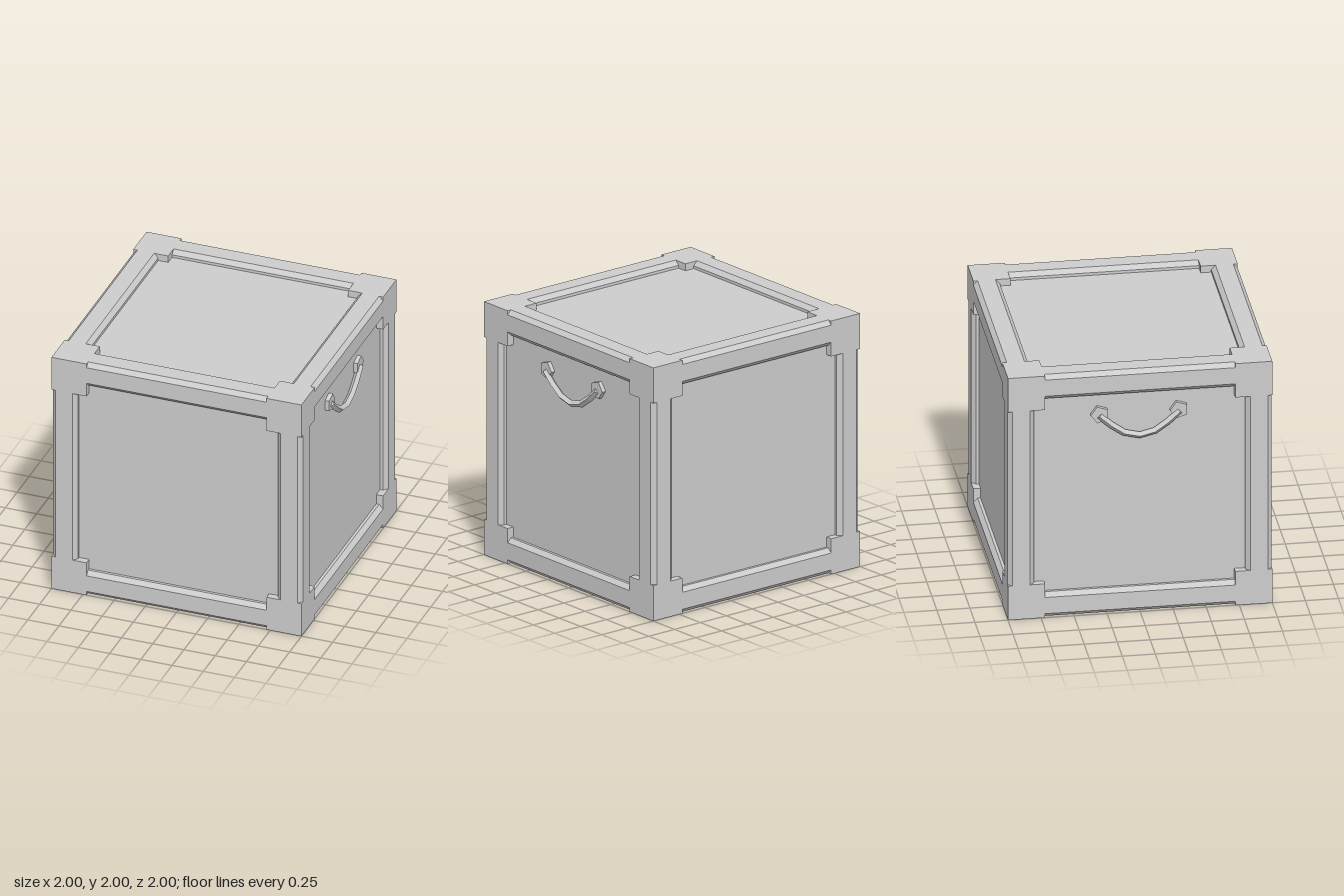
import * as THREE from 'three';

const metal = new THREE.MeshStandardMaterial({ color: 0xcccccc, flatShading: true });
metal.name = 'grey metal';

const PANEL = 0.945; // half size of the recessed body
const CORNER = 0.28; // corner block size
const BAR = 0.2; // edge bar thickness
const BEVEL = 0.033;

function add(parent, name, geometry, x = 0, y = 0, z = 0) {
  const mesh = new THREE.Mesh(geometry, metal);
  mesh.name = name;
  mesh.position.set(x, y, z);
  parent.add(mesh);
  return mesh;
}

// Square bar with bevelled long edges, centred along z
function barGeometry() {
  const h = BAR / 2, b = h - BEVEL, length = 2 - 2 * CORNER;
  const section = new THREE.Shape([
    [h, -b], [h, b], [b, h], [-b, h], [-h, b], [-h, -b], [-b, -h], [b, -h],
  ].map(([x, y]) => new THREE.Vector2(x, y)));
  return new THREE.ExtrudeGeometry(section, { depth: length, bevelEnabled: false })
    .translate(0, 0, -length / 2);
}

// Curved carrying handle with two five-sided mounts
function createHandle(side) {
  const handle = new THREE.Group();
  handle.name = side > 0 ? 'leftHandle' : 'rightHandle';

  const mount = new THREE.CylinderGeometry(0.07, 0.07, 0.04, 5, 1, false, Math.PI).rotateZ(Math.PI / 2);
  for (const z of [-0.3, 0.3]) add(handle, 'handleMount', mount, side * 0.957, 0.637, z);

  const points = [
    [-0.305, 0.63], [-0.205, 0.54], [-0.105, 0.473], [0, 0.45],
    [0.105, 0.473], [0.205, 0.54], [0.305, 0.63],
  ].map(([z, y]) => new THREE.Vector3(side * 0.973, y, z));
  const curve = new THREE.CatmullRomCurve3(points);
  add(handle, 'handleGrip', new THREE.TubeGeometry(curve, 6, 0.027, 4));

  // Close both ends of the grip
  for (const t of [0, 1]) {
    const p = curve.getPointAt(t);
    const cap = add(handle, 'handleGripEnd', new THREE.CircleGeometry(0.027, 4), p.x, p.y, p.z);
    cap.lookAt(p.clone().addScaledVector(curve.getTangentAt(t), t ? 1 : -1));
  }
  return handle;
}

export function createModel() {
  const model = new THREE.Group();
  model.name = 'crate';
  const crate = new THREE.Group();
  crate.name = 'crateParts';
  crate.position.y = 1;
  model.add(crate);

  // Recessed panels
  add(crate, 'panelBody', new THREE.BoxGeometry(2 * PANEL, 2 * PANEL, 2 * PANEL));

  // Corner blocks
  const corner = new THREE.BoxGeometry(CORNER, CORNER, CORNER);
  const c = 1 - CORNER / 2;
  for (const x of [-c, c]) for (const y of [-c, c]) for (const z of [-c, c]) {
    add(crate, 'cornerBlock', corner, x, y, z);
  }

  // Four edge bars along each axis
  const bar = barGeometry();
  const e = 1 - BAR / 2;
  const turns = { edgeBarsZ: [0, 0], edgeBarsY: [Math.PI / 2, 0], edgeBarsX: [0, Math.PI / 2] };
  for (const [name, [rx, ry]] of Object.entries(turns)) {
    const bars = new THREE.Group();
    bars.name = name;
    bars.rotation.set(rx, ry, 0);
    for (const x of [-e, e]) for (const y of [-e, e]) add(bars, 'edgeBar', bar, x, y, 0);
    crate.add(bars);
  }

  // Handles on both sides
  for (const side of [-1, 1]) crate.add(createHandle(side));
  return model;
}
